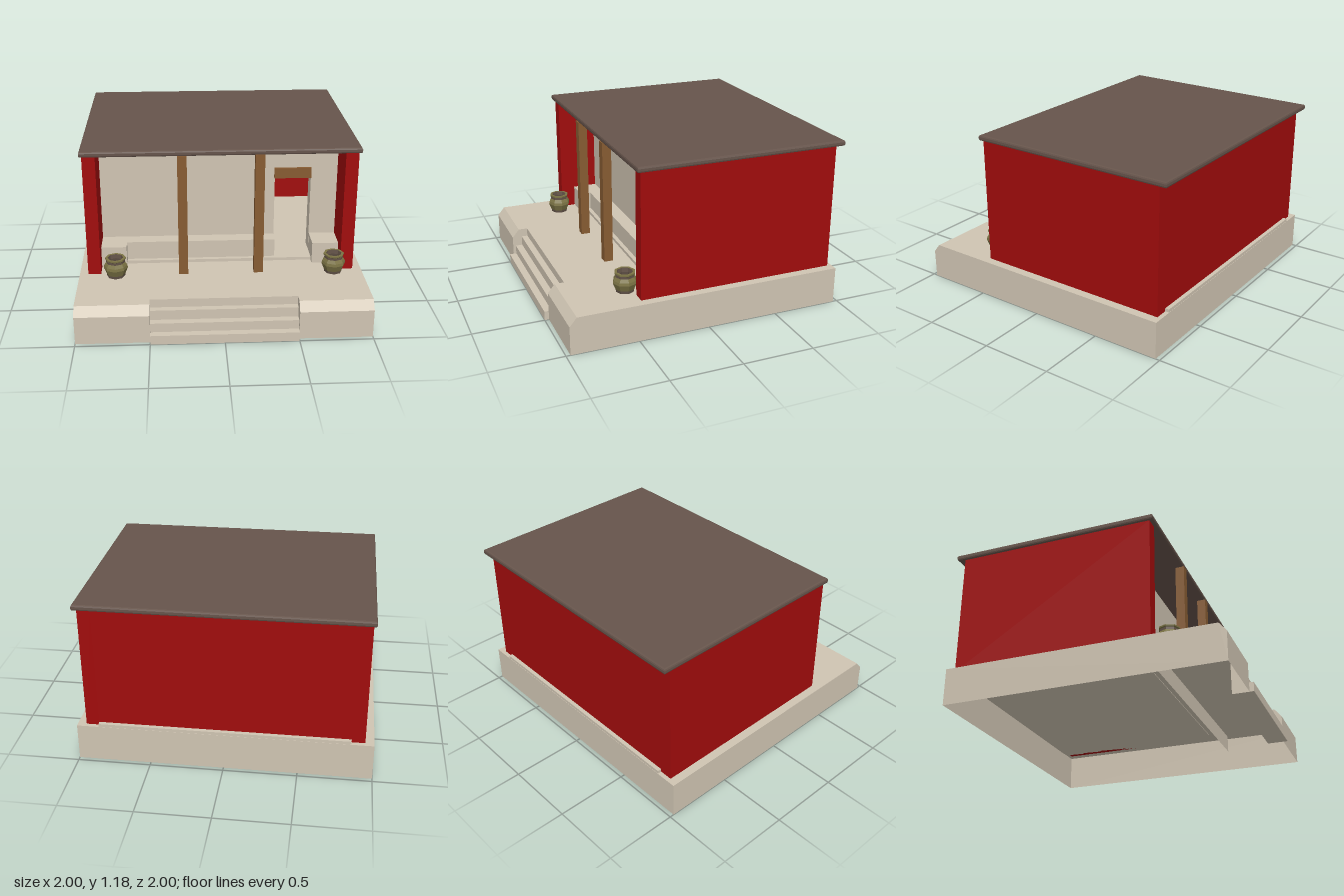
import * as THREE from 'three';

export function createModel() {
  const model = new THREE.Group();
  model.name = 'house';

  const mat = (name, color, opts = {}) =>
    Object.assign(new THREE.MeshStandardMaterial({ color, ...opts }), { name });
  const stone = mat('stone', 0xcfc4b2, { side: THREE.DoubleSide });
  const red = mat('redPaint', 0xa00c0c);
  const wood = mat('wood', 0x865b32);
  const roofMat = mat('roofBrown', 0x66544b);
  const olive = mat('oliveClay', 0x7b7344, { flatShading: true, side: THREE.DoubleSide });
  const brown = mat('brownClay', 0x635348, { flatShading: true, side: THREE.DoubleSide });

  function add(name, geometry, material, parent = model) {
    const mesh = new THREE.Mesh(geometry, material);
    mesh.name = name;
    parent.add(mesh);
    return mesh;
  }

  // Box given by its minimum and maximum on each axis
  function box(name, material, [x0, x1], [y0, y1], [z0, z1]) {
    const g = new THREE.BoxGeometry(x1 - x0, y1 - y0, z1 - z0);
    g.translate((x0 + x1) / 2, (y0 + y1) / 2, (z0 + z1) / 2);
    return add(name, g, material);
  }

  const shapeOf = (pts) => new THREE.Shape(pts.map(([a, b]) => new THREE.Vector2(a, b)));

  // Open sheet: a (z, y) path swept from x0 to x1
  function sheet(name, path, x0, x1) {
    const pos = [];
    for (let i = 0; i < path.length - 1; i++) {
      const [za, ya] = path[i], [zb, yb] = path[i + 1];
      pos.push(x0, ya, za, x1, ya, za, x1, yb, zb, x0, ya, za, x1, yb, zb, x0, yb, zb);
    }
    const g = new THREE.BufferGeometry();
    g.setAttribute('position', new THREE.Float32BufferAttribute(pos, 3));
    g.computeVertexNormals();
    add(name, g, stone);
  }

  // Flat cap: a (z, y) outline standing at x, facing its own side
  function cap(name, outline, x, facing) {
    const g = new THREE.ShapeGeometry(shapeOf(outline.map(([z, y]) => [-facing * z, y])));
    g.rotateY(facing * Math.PI / 2);
    g.translate(x, 0, 0);
    add(name, g, stone);
  }

  // Hollow platform with a chamfered front and a notch for the stairs
  const profile = [[0.97, 0], [0.97, 0.2], [0.92, 0.26], [-0.97, 0.26], [-0.97, 0]];
  const notch = [[0.855, 0], [0.97, 0], [0.97, 0.2], [0.92, 0.26], [0.855, 0.26]];
  for (const s of [-1, 1]) {
    sheet('platformSide', profile, s < 0 ? -1 : 0.5, s < 0 ? -0.5 : 1);
    cap('platformEnd', profile, s, s);
    cap('stairNotchWall', notch, s * 0.5, -s);
  }
  sheet('platformMiddle', [[0.855, 0.2], [0.855, 0.26], [-0.97, 0.26], [-0.97, 0]], -0.5, 0.5);
  sheet('underFloorWall', [[0.44, 0.13], [0.44, 0.255]], -0.93, 0.93);

  // Stairs
  const steps = [[1, 0], [1, 0.065], [0.95, 0.065], [0.95, 0.13], [0.9, 0.13], [0.9, 0.2],
    [0.855, 0.2], [0.855, 0]];
  const stairs = new THREE.ExtrudeGeometry(shapeOf(steps), { depth: 0.998, bevelEnabled: false });
  stairs.rotateY(-Math.PI / 2);
  stairs.translate(0.499, 0, 0);
  add('stairs', stairs, stone);

  // Raised inner floor
  box('innerFloor', stone, [-0.85, 0.85], [0.255, 0.282], [-0.968, 0.31]);

  // Outer walls
  for (const s of [-1, 1]) {
    const xs = s < 0 ? [-0.94, -0.85] : [0.85, 0.94];
    box('sideWall', red, xs, [0.26, 1.142], [-0.94, 0.465]);
  }
  box('backWall', red, [-0.85, 0.85], [0.26, 1.142], [-0.94, -0.85]);

  // Inner wall with its doorway
  const wall = shapeOf([[-0.85, 0.26], [0.4, 0.26], [0.4, 0.86], [0.66, 0.86], [0.66, 0.26],
    [0.85, 0.26], [0.85, 1.142], [-0.85, 1.142]]);
  const wallGeo = new THREE.ExtrudeGeometry(wall, { depth: 0.11, bevelEnabled: false });
  wallGeo.translate(0, 0, 0.07);
  add('innerWall', wallGeo, stone);
  box('doorLintel', wood, [0.395, 0.66], [0.858, 0.933], [0.1, 0.2]);

  // Benches along the inner wall
  box('longBench', stone, [-0.67, 0.398], [0.26, 0.415], [0.175, 0.28]);
  box('leftEndBench', stone, [-0.85, -0.67], [0.26, 0.415], [0.175, 0.36]);
  box('rightEndBench', stone, [0.662, 0.85], [0.26, 0.415], [0.175, 0.36]);

  // Porch posts
  for (const x of [-0.267, 0.263]) {
    box('porchPost', wood, [x - 0.0325, x + 0.0325], [0.26, 1.142], [0.43, 0.494]);
  }

  // Roof slab with bevelled edges
  const b = 0.012;
  const rw = 0.957 - b, rz0 = -0.997 + b, rz1 = 0.49 - b;
  const roof = new THREE.ExtrudeGeometry(
    shapeOf([[-rw, -rz1], [rw, -rz1], [rw, -rz0], [-rw, -rz0]]),
    { depth: 0.04 - 2 * b, bevelThickness: b, bevelSize: b, bevelSegments: 2 });
  roof.rotateX(-Math.PI / 2);
  roof.translate(0, 1.14 + b, 0);
  add('roof', roof, roofMat);

  // Eight-sided clay pots in coloured bands, as (radius, height) profiles
  const bands = [
    ['potBase', brown, [[0, 0], [0.062, 0], [0.066, 0.02]]],
    ['potBelly', olive, [[0.066, 0.02], [0.084, 0.065], [0.08, 0.085], [0.066, 0.108]]],
    ['potNeck', brown, [[0.066, 0.108], [0.066, 0.125]]],
    ['potRim', olive, [[0.066, 0.125], [0.072, 0.13], [0.072, 0.14], [0.054, 0.14]]],
    ['potInside', brown, [[0.054, 0.14], [0.05, 0.11], [0.06, 0.06], [0, 0.03]]],
  ];
  for (const s of [-1, 1]) {
    const pot = new THREE.Group();
    pot.name = 'pot';
    for (const [name, material, pts] of bands) {
      add(name, new THREE.LatheGeometry(pts.map(([r, y]) => new THREE.Vector2(r, y)), 8), material, pot);
    }
    pot.position.set(s * 0.79 - (s < 0 ? -0.05 : 0), 0.275, 0.522);
    model.add(pot);
  }

  return model;
}
